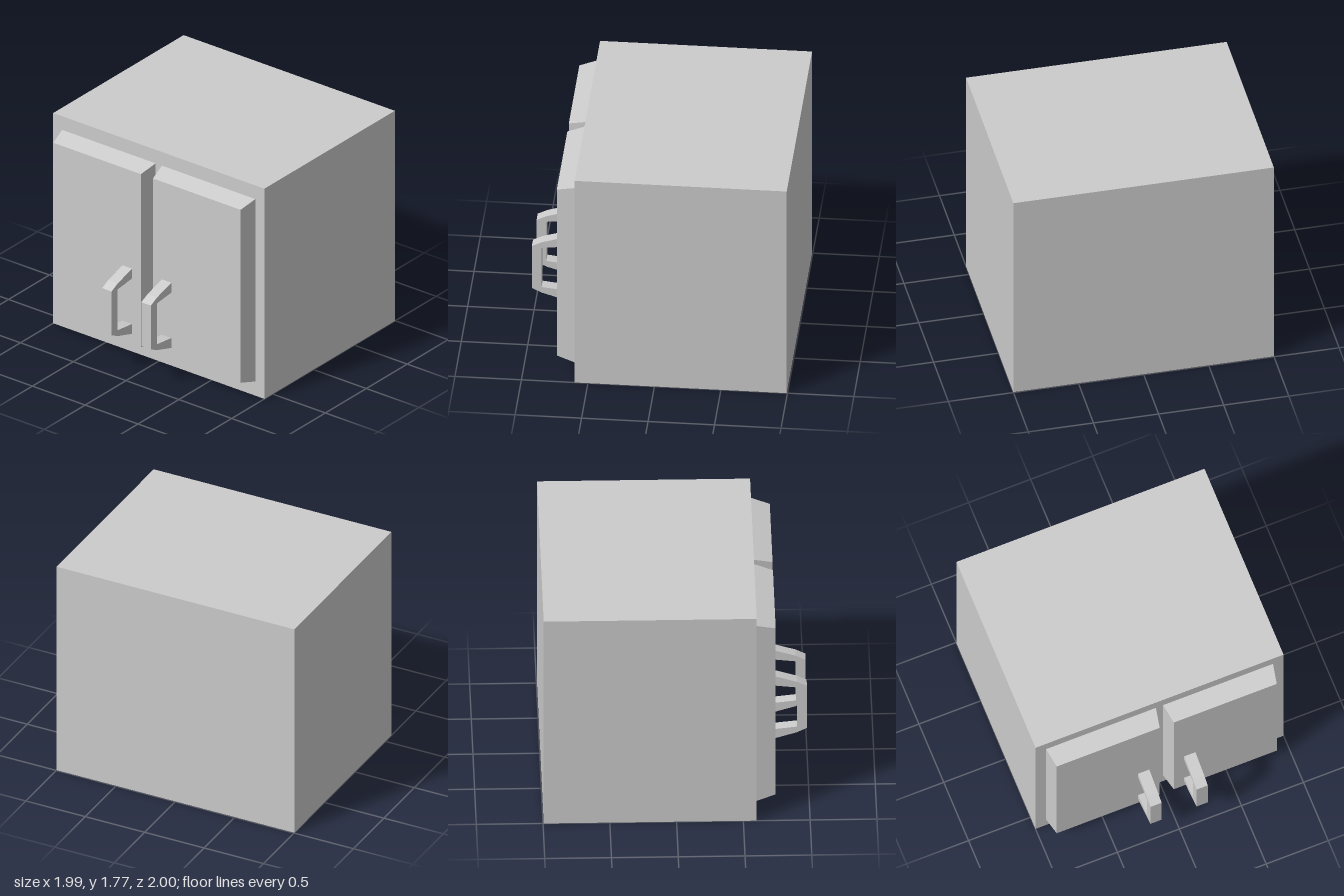
import * as THREE from 'three';

const material = new THREE.MeshStandardMaterial({ color: 0xcccccc, flatShading: true });

function addMesh(parent, name, geometry) {
  const mesh = new THREE.Mesh(geometry, material);
  mesh.name = name;
  parent.add(mesh);
  return mesh;
}

// Door panel: a box whose outer (-x) face is drawn in to make sloped edges
function doorGeometry() {
  const depth = 0.145, height = 1.54, width = 0.885;
  const geometry = new THREE.BoxGeometry(depth, height, width);
  const p = geometry.attributes.position;
  for (let i = 0; i < p.count; i++) {
    if (p.getX(i) < 0) {
      p.setY(i, p.getY(i) * (1.46 / height));
      p.setZ(i, p.getZ(i) * (0.83 / width));
    }
  }
  geometry.computeVertexNormals();
  return geometry;
}

// Bracket-shaped pull, drawn in the x-y plane and extruded along z
function handleGeometry() {
  const outline = [
    [-0.745, 0.795], [-0.92, 0.742], [-0.995, 0.705], [-0.995, 0.335],
    [-0.92, 0.298], [-0.745, 0.245], [-0.745, 0.328], [-0.922, 0.348],
    [-0.922, 0.692], [-0.745, 0.712],
  ].map(([x, y]) => new THREE.Vector2(x, y));
  const geometry = new THREE.ExtrudeGeometry(new THREE.Shape(outline), { depth: 0.09, bevelEnabled: false });
  return geometry.translate(0, 0, -0.045);
}

export function createModel() {
  const group = new THREE.Group();
  group.name = 'cabinet';

  // Cabinet body
  addMesh(group, 'body', new THREE.BoxGeometry(1.595, 1.775, 2)).position.set(0.1975, 0.8875, 0);

  // Pair of doors, each with a handle near the centre gap
  const door = doorGeometry();
  const handle = handleGeometry();
  for (const [name, side] of [['front', 1], ['back', -1]]) {
    addMesh(group, name + 'Door', door).position.set(-0.6725, 0.89, side * 0.472);
    addMesh(group, name + 'Handle', handle).position.z = side * 0.186;
  }
  return group;
}
